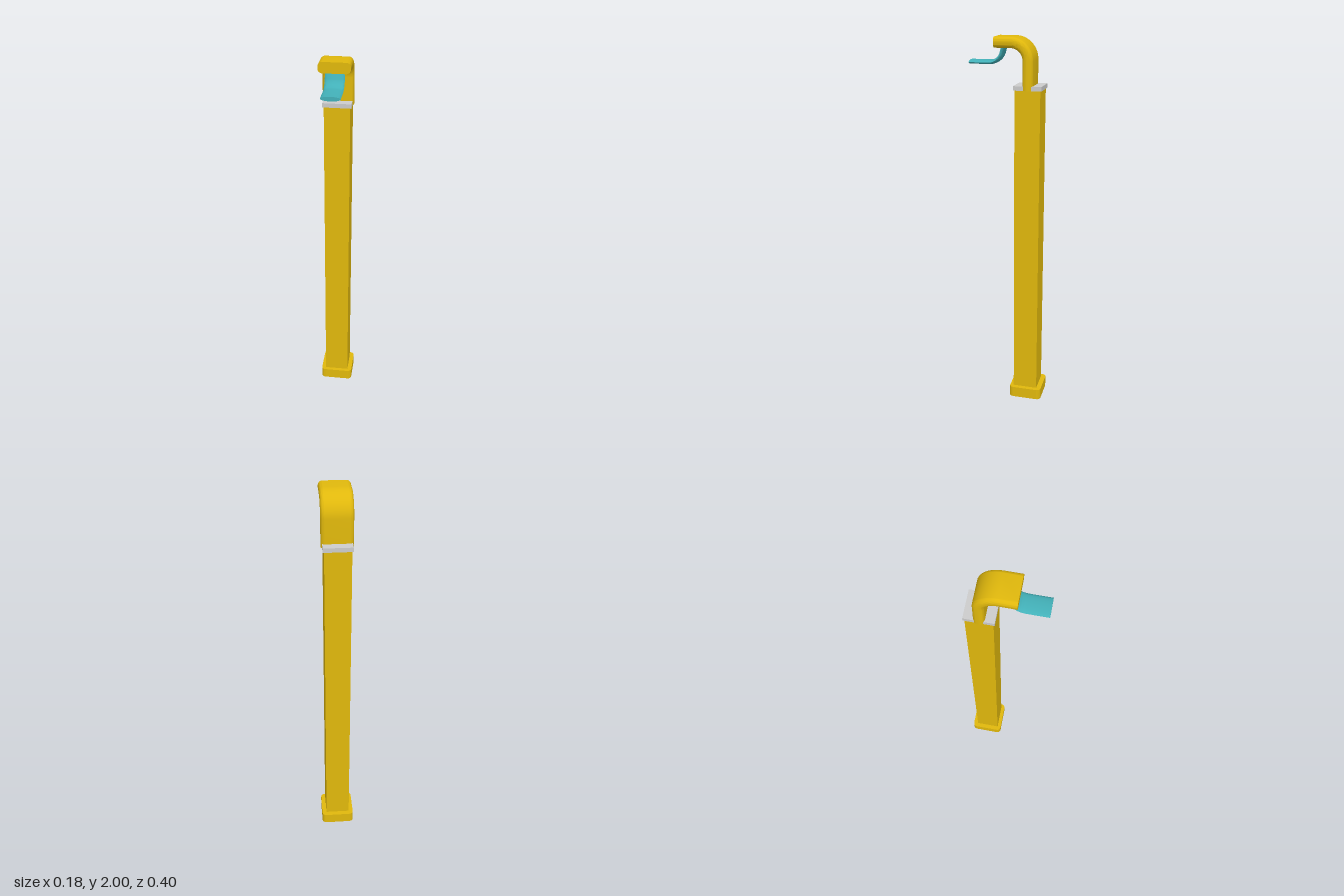
import * as THREE from 'three';
import { toCreasedNormals } from 'three/addons/utils/BufferGeometryUtils.js';

const yellow = new THREE.MeshStandardMaterial({ color: 0xe0b80c });
const teal = new THREE.MeshStandardMaterial({ color: 0x42b0b8 });
const grey = new THREE.MeshStandardMaterial({ color: 0xcccccc });
const POST_Z = -0.108;

function roundedRect(w, d, r) {
  const s = new THREE.Shape();
  const x = w / 2, y = d / 2;
  s.absarc(x - r, y - r, r, 0, Math.PI / 2);
  s.absarc(-x + r, y - r, r, Math.PI / 2, Math.PI);
  s.absarc(-x + r, -y + r, r, Math.PI, Math.PI * 1.5);
  s.absarc(x - r, -y + r, r, Math.PI * 1.5, Math.PI * 2);
  s.closePath();
  return s;
}

// Sweep a closed section (x, normal) along a path of (z, y) points, with capped ends
function sweep(section, path) {
  const n = section.length, rows = path.length;
  const pos = [], idx = [];
  path.forEach((p, i) => {
    const t = path[Math.min(i + 1, rows - 1)].clone().sub(path[Math.max(i - 1, 0)]).normalize();
    for (const s of section) pos.push(s.x, p.y + s.y * t.x, p.x - s.y * t.y);
  });
  for (let i = 0; i < rows - 1; i++) {
    for (let j = 0; j < n; j++) {
      const a = i * n + j, b = i * n + (j + 1) % n;
      idx.push(a, b, b + n, a, b + n, a + n);
    }
  }
  const last = (rows - 1) * n;
  for (let j = 1; j < n - 1; j++) {
    idx.push(0, j + 1, j);
    idx.push(last, last + j, last + j + 1);
  }
  const g = new THREE.BufferGeometry();
  g.setAttribute('position', new THREE.Float32BufferAttribute(pos, 3));
  g.setIndex(idx);
  return toCreasedNormals(g, 0.6);
}

// Points on an arc in the (z, y) plane
function arc(cz, cy, r, from, to, steps) {
  return Array.from({ length: steps + 1 }, (_, i) => {
    const a = from + (to - from) * i / steps;
    return new THREE.Vector2(cz + r * Math.cos(a), cy + r * Math.sin(a));
  });
}

export function createModel() {
  const group = new THREE.Group();
  const add = (name, geometry, material, y = 0, z = 0) => {
    const m = new THREE.Mesh(geometry, material);
    m.name = name;
    m.position.set(0, y, z);
    group.add(m);
    return m;
  };

  // Foot with rounded corners
  const foot = new THREE.ExtrudeGeometry(roundedRect(0.18, 0.178, 0.022),
    { depth: 0.06, bevelEnabled: false, curveSegments: 2 });
  foot.rotateX(-Math.PI / 2);
  add('base', foot, yellow, 0, -0.111);

  // Small inlet plug under the foot
  add('inlet', new THREE.CylinderGeometry(0.012, 0.012, 0.01, 16), teal, 0.0045, -0.111);

  // Square post and its cap plate
  add('post', new THREE.BoxGeometry(0.132, 1.69, 0.132), yellow, 0.9, POST_Z);
  add('collar', new THREE.BoxGeometry(0.145, 0.022, 0.145), grey, 1.753, POST_Z);

  // Flat bent spout: up, round the bend, then forward
  const spoutPath = [
    new THREE.Vector2(POST_Z, 1.742),
    ...arc(-0.02, 1.885, 0.088, Math.PI, Math.PI / 2, 14),
    new THREE.Vector2(0.064, 1.973),
  ];
  const spoutSection = roundedRect(0.157, 0.054, 0.022).getPoints(5).slice(0, -1);
  add('spout', sweep(spoutSection, spoutPath), yellow);

  // Thin curved outlet tongue
  const tongueSection = new THREE.EllipseCurve(0, 0, 0.048, 0.011).getPoints(24).slice(0, -1);
  const tonguePath = [
    new THREE.Vector2(0.018, 1.965),
    new THREE.Vector2(0.028, 1.945),
    ...arc(0.098, 1.938, 0.066, Math.PI * 1.13, Math.PI * 1.5, 10),
    new THREE.Vector2(0.2, 1.872),
  ];
  add('outletTongue', sweep(tongueSection, tonguePath), teal);

  return group;
}
